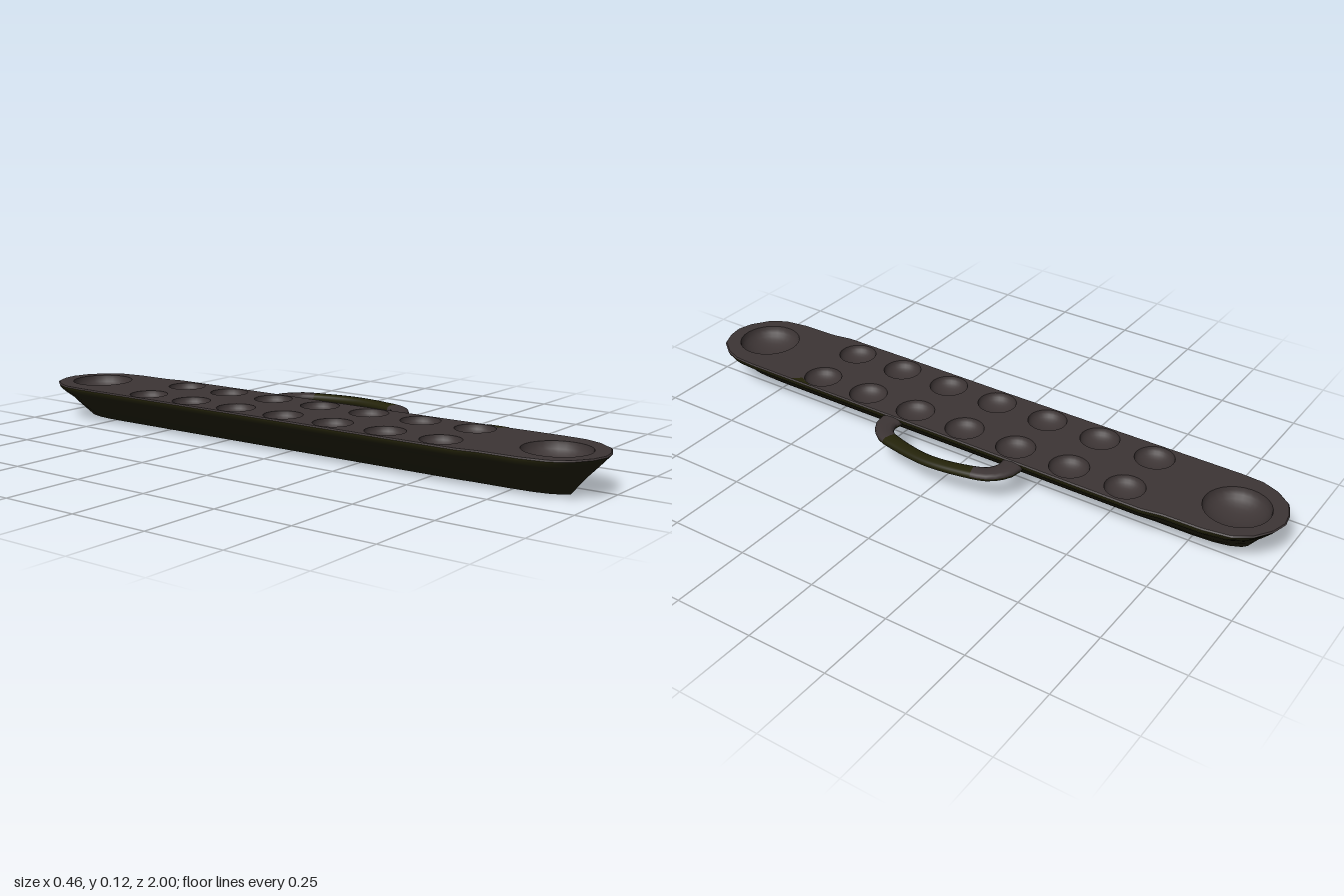
import * as THREE from 'three';

const CX = -0.07, TOP = 0.117;

// Half of the board outline (x from board axis, z); the other half is this turned by 180 degrees
const HALF = [[0.16, 0], [0.16, 0.4], [0.16, 0.64], [0.16, 0.8], [0.155, 0.87], [0.135, 0.92],
  [0.095, 0.97], [0.045, 0.993], [0, 1], [-0.05, 0.987], [-0.105, 0.95], [-0.137, 0.9],
  [-0.15, 0.82], [-0.152, 0.7], [-0.163, 0.64], [-0.163, 0.4]];
const OUTLINE = [...HALF, ...HALF.map(([x, z]) => [-x, -z])];

function buildGeometry(pos, idx) {
  const g = new THREE.BufferGeometry();
  g.setAttribute('position', new THREE.Float32BufferAttribute(pos, 3));
  g.setIndex(idx);
  g.computeVertexNormals();
  return g;
}

// Skin through scaled copies of the outline, listed from top to bottom as [x scale, y, z scale]
function outlineSkin(levels) {
  const n = OUTLINE.length, pos = [], idx = [];
  levels.forEach(([sx, y, sz], j) => {
    OUTLINE.forEach(([x, z], i) => {
      pos.push(CX + x * sx, y, z * sz);
      if (j === levels.length - 1) return;
      const a = j * n + i, b = j * n + (i + 1) % n;
      idx.push(a, b, a + n, b, b + n, a + n);
    });
  });
  return buildGeometry(pos, idx);
}

// Bowl-shaped pit, seen from inside
function pitGeometry(r, depth) {
  const pts = [];
  for (let i = 0; i <= 8; i++) {
    const a = (i / 8) * Math.PI / 2;
    pts.push(new THREE.Vector2(r * Math.cos(a), -depth * Math.sin(a)));
  }
  return new THREE.LatheGeometry(pts, 28);
}

// Flattened loop handle; group 0 is the wood underside and middle, group 1 the pale tops of the ends
function handleGeometry() {
  const curve = new THREE.CatmullRomCurve3([[0.08, -0.215], [0.12, -0.215], [0.165, -0.185], [0.187, -0.13],
    [0.207, 0], [0.187, 0.13], [0.165, 0.19], [0.12, 0.222], [0.08, 0.222]]
    .map(([x, z]) => new THREE.Vector3(x, 0.101, z)));
  const S = 28, K = 12, pos = [], sides = [[], []];
  for (let i = 0; i <= S; i++) {
    const u = i / S, p = curve.getPointAt(u), t = curve.getTangentAt(u);
    const w = 0.02 + 0.016 * Math.abs(2 * u - 1) ** 2;
    for (let k = 0; k < K; k++) {
      const a = (k / K) * Math.PI * 2, c = Math.cos(a), s = Math.sin(a);
      const o = Math.sign(c) * Math.abs(c) ** 0.7 * w, h = Math.sign(s) * Math.abs(s) ** 0.7 * 0.0135;
      pos.push(p.x + t.z * o, p.y + h, p.z - t.x * o);
      if (i === S) continue;
      const A = i * K + k, B = i * K + (k + 1) % K;
      const pale = k < K / 2 && Math.abs(p.z) > 0.155;
      sides[pale ? 1 : 0].push(A, B, A + K, B, B + K, A + K);
    }
  }
  const g = buildGeometry(pos, [...sides[0], ...sides[1]]);
  g.addGroup(0, sides[0].length, 0);
  g.addGroup(sides[0].length, sides[1].length, 1);
  return g;
}

export function createModel() {
  const group = new THREE.Group();
  const brown = new THREE.MeshStandardMaterial({ color: 0x3d3535 });
  brown.name = 'greyBrown';
  const olive = new THREE.MeshStandardMaterial({ color: 0x242309 });
  olive.name = 'darkOlive';
  const add = (name, geo, mat) => {
    const m = new THREE.Mesh(geo, mat);
    m.name = name;
    group.add(m);
    return m;
  };

  // Hull-shaped underside, its flat foot and the bevelled rim
  add('body', outlineSkin([[1, 0.113, 0.999], [1, 0.106, 0.993], [0.94, 0.094, 0.982], [0.83, 0.08, 0.97],
    [0.73, 0.066, 0.957], [0.64, 0.048, 0.94], [0.52, 0.031, 0.925], [0.28, 0, 0.9]]), olive);
  add('foot', outlineSkin([[0.28, 0, 0.9], [0, 0, 0]]), olive);
  add('rim', outlineSkin([[0.975, TOP, 0.996], [1, 0.113, 0.999]]), brown);

  // Pit positions: two rows of seven, and a large store at each end
  const pits = [];
  for (let i = -3; i <= 3; i++) for (const s of [-1, 1]) pits.push([s * 0.09, i * 0.1835, 0.06]);
  for (const s of [-1, 1]) pits.push([0, s * 0.855, 0.098]);

  // Playing surface with holes cut for the pits
  const shape = new THREE.Shape(OUTLINE.map(([x, z]) => new THREE.Vector2(x * 0.975, -z * 0.996)));
  const small = pitGeometry(0.06, 0.036), large = pitGeometry(0.098, 0.055);
  for (const [x, z, r] of pits) {
    const hole = [];
    for (let i = 0; i < 28; i++) {
      const a = (i / 28) * Math.PI * 2;
      hole.push(new THREE.Vector2(x + r * Math.sin(a), -z - r * Math.cos(a)));
    }
    shape.holes.push(new THREE.Path(hole));
    add(r > 0.08 ? 'store' : 'pit', r > 0.08 ? large : small, brown).position.set(CX + x, TOP, z);
  }
  const top = new THREE.ShapeGeometry(shape);
  top.rotateX(-Math.PI / 2);
  add('topSurface', top, brown).position.set(CX, TOP, 0);

  // Small worn patch on the edge
  const patch = new THREE.ShapeGeometry(new THREE.Shape([[0.087, -0.63], [0.088, -0.545], [0.077, -0.575], [0.064, -0.6]]
    .map(([x, y]) => new THREE.Vector2(x, y))));
  patch.rotateX(-Math.PI / 2);
  add('edgePatch', patch, olive).position.y = TOP + 0.001;

  // Side handle
  add('handle', handleGeometry(), [olive, brown]);
  return group;
}
